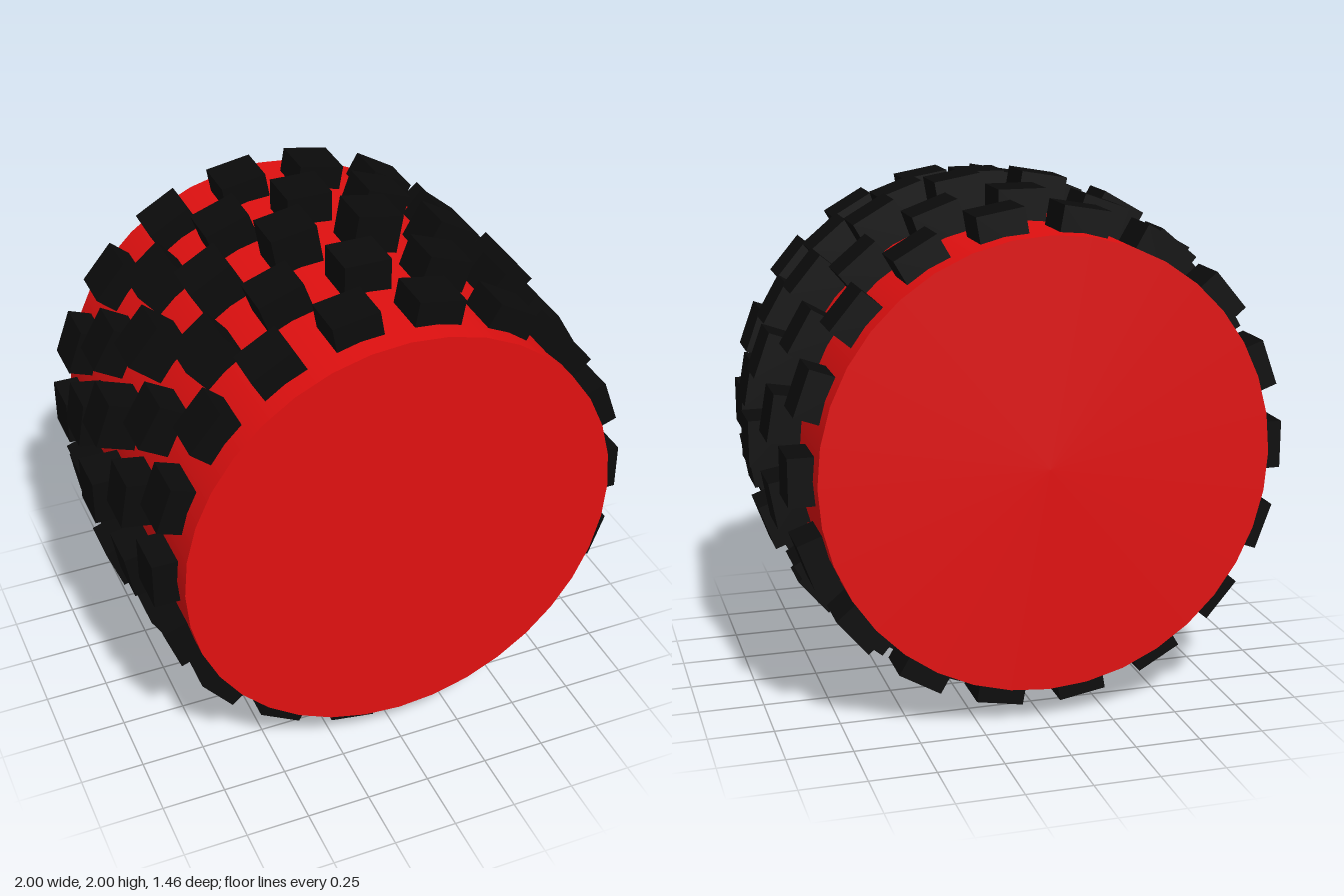
import * as THREE from 'three';

export function createModel() {
  const model = new THREE.Group();
  model.name = 'studdedDrum';
  const red = new THREE.MeshStandardMaterial({ color: 0xe01010 });
  const black = new THREE.MeshStandardMaterial({ color: 0x0b0b0b });
  const centreY = 1;

  // Smooth drum lying along z
  const drumGeometry = new THREE.CylinderGeometry(0.855, 0.855, 1.46, 36);
  drumGeometry.rotateX(Math.PI / 2);
  const drum = new THREE.Mesh(drumGeometry, red);
  drum.name = 'drum';
  drum.position.y = centreY;
  model.add(drum);

  // Five staggered rings of tread blocks, tallest in the middle
  const size = 0.182;
  const count = 18;
  const blockGeometry = new THREE.BoxGeometry(size, size, size);
  const outerRadius = [1, 0.971, 0.945];
  for (let row = -2; row <= 2; row++) {
    const ring = new THREE.Group();
    ring.name = `treadRing${row + 3}`;
    ring.position.set(0, centreY, row * 0.275);
    const radius = outerRadius[Math.abs(row)] - size / 2;
    const stagger = row % 2 === 0 ? 0 : 0.5;
    for (let i = 0; i < count; i++) {
      const angle = ((i + stagger) / count) * Math.PI * 2;
      const block = new THREE.Mesh(blockGeometry, black);
      block.name = 'treadBlock';
      block.position.set(Math.cos(angle) * radius, Math.sin(angle) * radius, 0);
      block.rotation.z = angle;
      ring.add(block);
    }
    model.add(ring);
  }
  return model;
}
